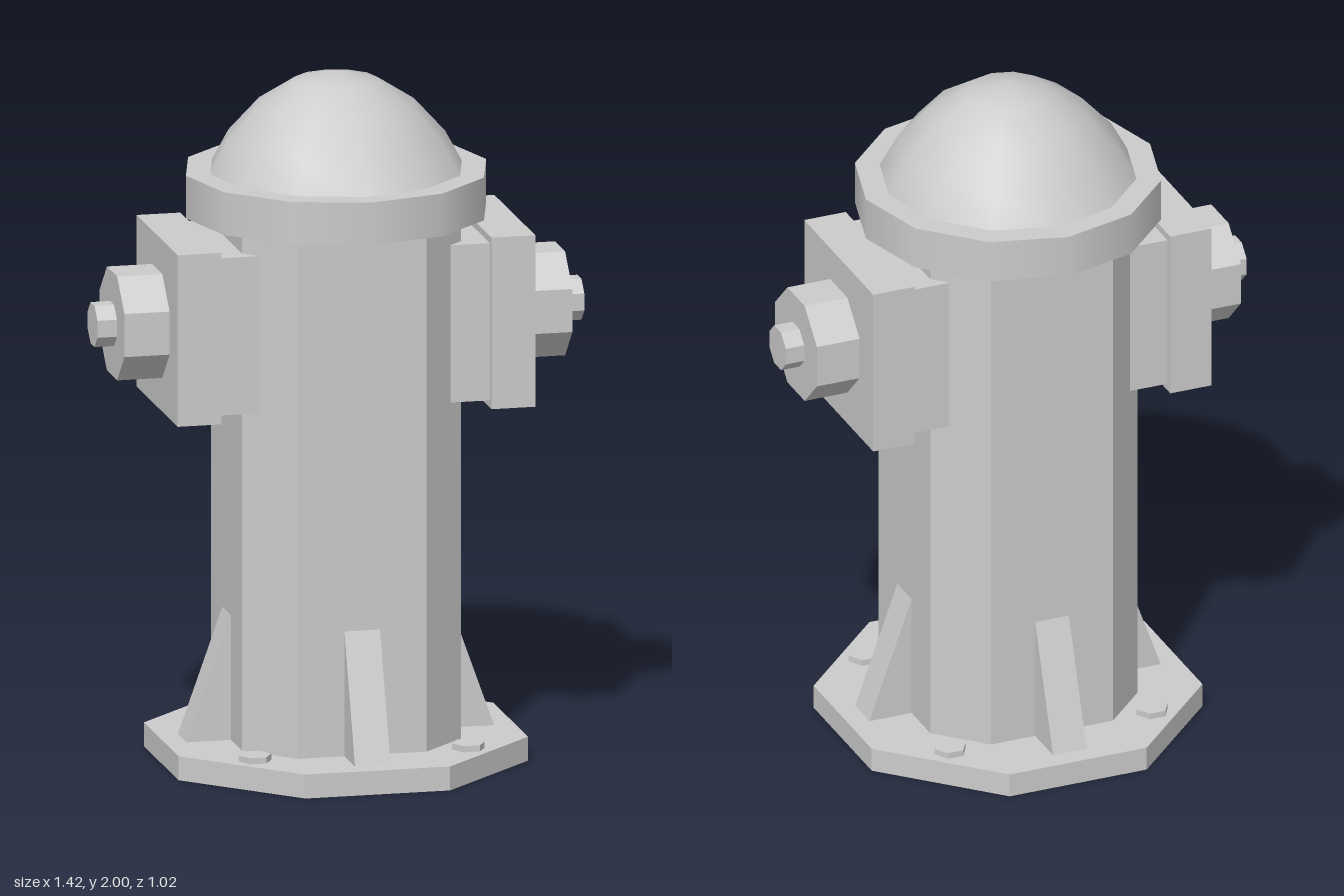
import * as THREE from 'three';
import { mergeVertices } from 'three/addons/utils/BufferGeometryUtils.js';

const smooth = new THREE.MeshStandardMaterial({ color: 0xcccccc });
const flat = new THREE.MeshStandardMaterial({ color: 0xcccccc, flatShading: true });

function add(parent, name, geometry, material = flat) {
  const mesh = new THREE.Mesh(geometry, material);
  mesh.name = name;
  parent.add(mesh);
  return mesh;
}

// Upright octagonal prism with flats facing the axes
function octagon(apothem, height) {
  const r = apothem / Math.cos(Math.PI / 8);
  return new THREE.CylinderGeometry(r, r, height, 8).rotateY(Math.PI / 8);
}

function polygon(points) {
  return new THREE.Shape(points.map(([x, y]) => new THREE.Vector2(x, y)));
}

// Faceted dome with welded vertices, so the shading stays round at the pole
function createDome() {
  const profile = [[0.376, 1.7], [0.319, 1.805], [0.228, 1.905], [0.121, 1.973], [0, 2]];
  const lathe = new THREE.LatheGeometry(profile.map(([r, y]) => new THREE.Vector2(r, y)), 12);
  lathe.deleteAttribute('normal');
  lathe.deleteAttribute('uv');
  const dome = mergeVertices(lathe);
  dome.computeVertexNormals();
  return dome;
}

// Outlet on the +x side: mounting block, flange plate, nut and stem
function createOutlet() {
  const outlet = new THREE.Group();
  outlet.name = 'sideOutlet';
  const y = 1.295;
  add(outlet, 'mountingBlock', new THREE.BoxGeometry(0.12, 0.46, 0.46)).position.set(0.34, y, 0);
  add(outlet, 'flangePlate', new THREE.BoxGeometry(0.128, 0.502, 0.502)).position.set(0.459, y, 0);
  add(outlet, 'outletNut', octagon(0.152, 0.135).rotateZ(-Math.PI / 2)).position.set(0.5875, y, 0);
  add(outlet, 'outletStem', octagon(0.06, 0.062).rotateZ(-Math.PI / 2)).position.set(0.681, y, 0);
  return outlet;
}

export function createModel() {
  const model = new THREE.Group();
  model.name = 'fireHydrant';

  // Base plate
  add(model, 'basePlate', octagon(0.511, 0.07)).position.y = 0.035;

  // Barrel: square column with chamfered corners
  const a = 0.32, b = 0.188;
  const section = polygon([[a, -b], [a, b], [b, a], [-b, a], [-a, b], [-a, -b], [-b, -a], [b, -a]]);
  const barrel = new THREE.ExtrudeGeometry(section, { depth: 1.53, bevelEnabled: false });
  add(model, 'barrel', barrel.rotateX(-Math.PI / 2)).position.y = 0.065;

  // Collar and dome
  add(model, 'collar', new THREE.CylinderGeometry(0.439, 0.439, 0.125, 12), smooth).position.y = 1.6525;
  add(model, 'dome', createDome(), smooth);

  // Buttress ribs and base bolts, four of each
  const ribShape = polygon([[0.3, 0.06], [0.453, 0.06], [0.45, 0.07], [0.32, 0.435], [0.3, 0.435]]);
  const rib = new THREE.ExtrudeGeometry(ribShape, { depth: 0.104, bevelEnabled: false }).translate(0, 0, -0.052);
  const bolt = new THREE.CylinderGeometry(0.048, 0.048, 0.03, 6).rotateY(Math.PI / 6);
  for (let i = 0; i < 4; i++) {
    add(model, 'rib', rib).rotation.y = i * Math.PI / 2;
    const x = i % 2 ? 0.312 : -0.312, z = i < 2 ? 0.312 : -0.312;
    add(model, 'baseBolt', bolt).position.set(x, 0.073, z);
  }

  // Outlets on both sides
  for (const turn of [0, Math.PI]) {
    const outlet = createOutlet();
    outlet.rotation.y = turn;
    model.add(outlet);
  }
  return model;
}
